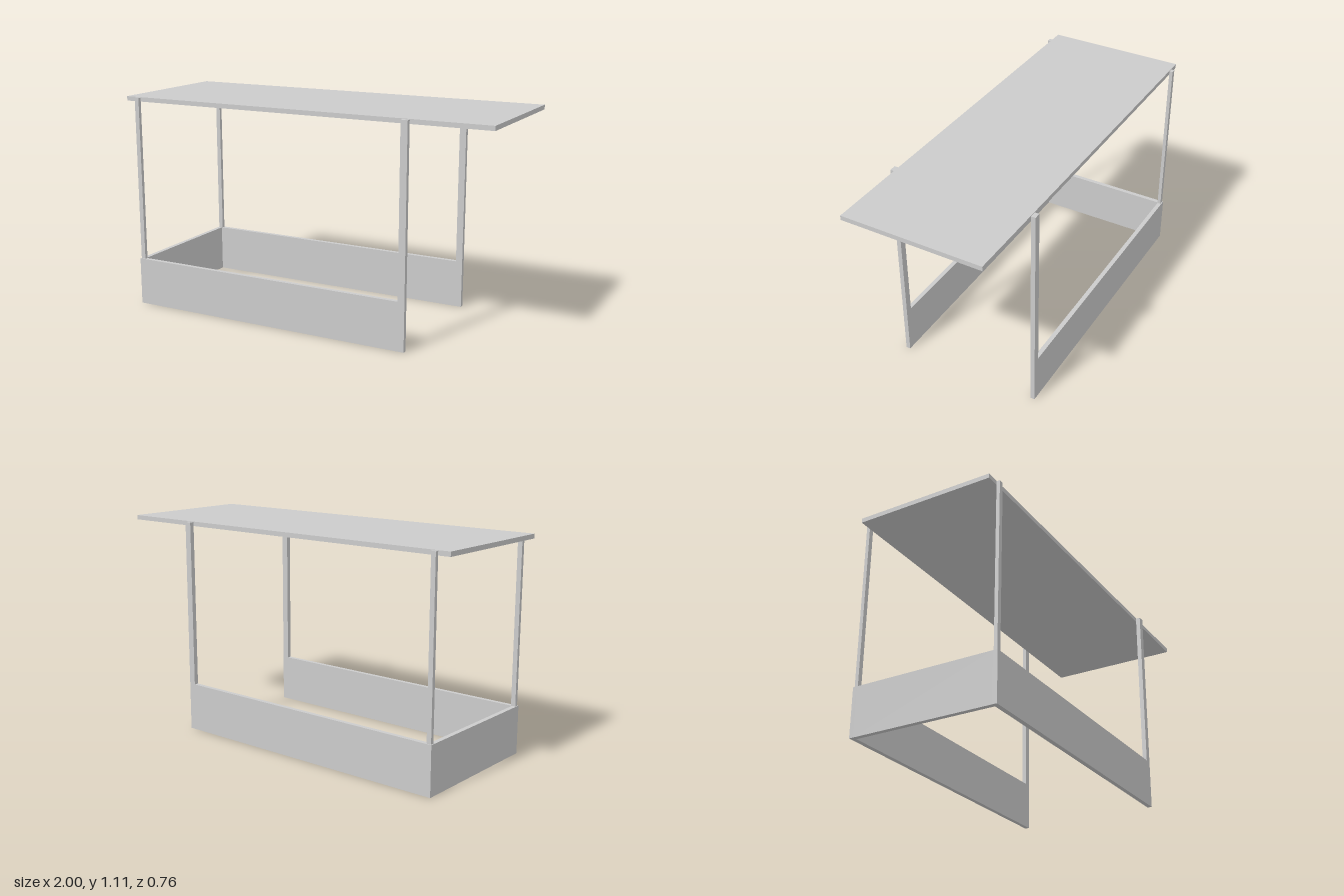
import * as THREE from 'three';

export function createModel() {
  const model = new THREE.Group();
  const material = new THREE.MeshStandardMaterial({ color: 0xcccccc, flatShading: true });

  // Box given by its lower and upper limits on each axis
  function addBox(name, [x0, x1], [y0, y1], [z0, z1]) {
    const mesh = new THREE.Mesh(new THREE.BoxGeometry(x1 - x0, y1 - y0, z1 - z0), material);
    mesh.name = name;
    mesh.position.set((x0 + x1) / 2, (y0 + y1) / 2, (z0 + z1) / 2);
    model.add(mesh);
  }

  const wallTop = 0.248, postTop = 1.107;
  const inner = 0.359, outer = 0.382;

  // Flat roof, overhanging both ends
  addBox('roof', [-1, 1], [1.087, 1.11], [-inner, inner]);

  // Low wall closing one end; the other end is open
  addBox('endWall', [-0.942, -0.919], [0, wallTop], [-inner, inner]);

  // Mirrored long sides: low wall, wide full-height post, thin post on the wall
  for (const [side, s] of [['left', 1], ['right', -1]]) {
    const span = (a, b) => (s > 0 ? [a, b] : [-b, -a]);
    addBox(side + 'SideWall', [-0.942, 0.562], [0, wallTop], span(inner, outer));
    addBox(side + 'WidePost', [0.562, 0.597], [0, postTop], span(inner, outer));
    addBox(side + 'ThinPost', [-0.937, -0.913], [wallTop, postTop], span(inner, outer - 0.005));
  }

  return model;
}
